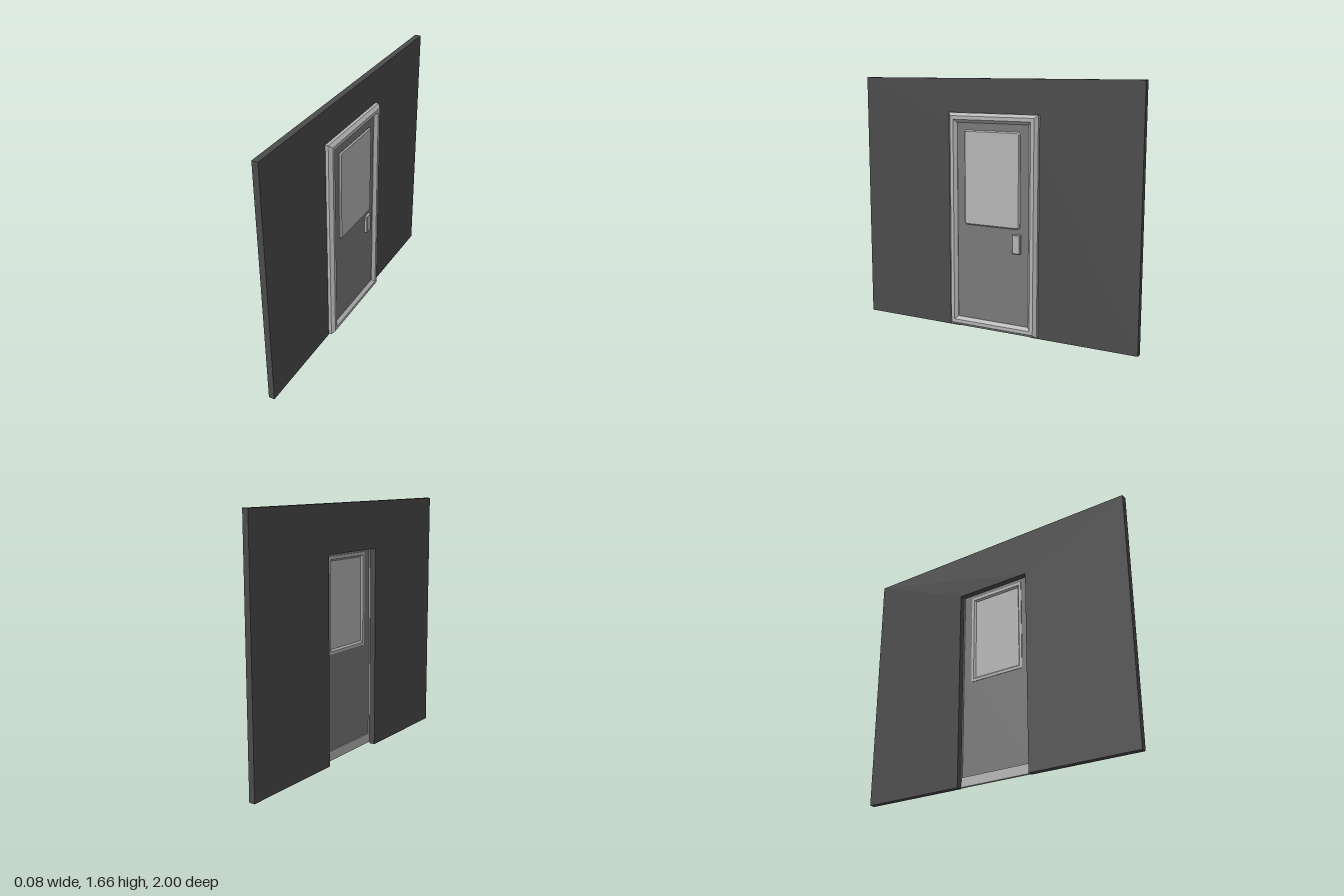
import * as THREE from 'three';

const wallGrey = new THREE.MeshStandardMaterial({ color: 0x4b4b4b });
wallGrey.name = 'wallGrey';
const doorGrey = new THREE.MeshStandardMaterial({ color: 0x797979 });
doorGrey.name = 'doorGrey';
const trimGrey = new THREE.MeshStandardMaterial({ color: 0xb5b5b5 });
trimGrey.name = 'trimGrey';

// Rounded rectangle outline, drawn into a Shape or Path
function rect(target, x0, x1, y0, y1, r = 0) {
  if (r === 0) {
    target.moveTo(x0, y0).lineTo(x1, y0).lineTo(x1, y1).lineTo(x0, y1).closePath();
    return target;
  }
  target.absarc(x1 - r, y0 + r, r, -Math.PI / 2, 0);
  target.absarc(x1 - r, y1 - r, r, 0, Math.PI / 2);
  target.absarc(x0 + r, y1 - r, r, Math.PI / 2, Math.PI);
  target.absarc(x0 + r, y0 + r, r, Math.PI, Math.PI * 1.5);
  target.closePath();
  return target;
}

// Extrudes an upright outline towards +x, between x0 and x1, with an optional front and back bevel
function slab(name, shape, x0, x1, material, bevel = 0) {
  const geo = new THREE.ExtrudeGeometry(shape, {
    depth: x1 - x0 - 2 * bevel,
    bevelEnabled: bevel > 0,
    bevelThickness: bevel,
    bevelSize: bevel,
    bevelOffset: -bevel,
    bevelSegments: 1,
    curveSegments: 4,
  });
  geo.translate(0, 0, x0 + bevel);
  geo.rotateY(Math.PI / 2);
  const mesh = new THREE.Mesh(geo, material);
  mesh.name = name;
  return mesh;
}

// Mitred frame: a closed profile of [inset, depth] points swept round a rectangle
function mitredFrame(name, half, y0, y1, profile, material) {
  const rings = profile.map(([i, d]) => [
    [-half + i, y0 + i, d], [half - i, y0 + i, d],
    [half - i, y1 - i, d], [-half + i, y1 - i, d],
  ]);
  const pos = [];
  rings.forEach((a, k) => {
    const b = rings[(k + 1) % rings.length];
    for (let j = 0; j < 4; j++) {
      const n = (j + 1) % 4;
      for (const p of [a[j], a[n], b[n], a[j], b[n], b[j]]) pos.push(...p);
    }
  });
  const geo = new THREE.BufferGeometry();
  geo.setAttribute('position', new THREE.Float32BufferAttribute(pos, 3));
  geo.rotateY(Math.PI / 2);
  geo.computeVertexNormals();
  const mesh = new THREE.Mesh(geo, material);
  mesh.name = name;
  return mesh;
}

export function createModel() {
  const model = new THREE.Group();
  model.name = 'doorInWall';

  // Wall with a doorway open down to the floor
  const wall = new THREE.Shape();
  wall.moveTo(-1, 0).lineTo(-0.265, 0).lineTo(-0.265, 1.35).lineTo(0.265, 1.35);
  wall.lineTo(0.265, 0).lineTo(1, 0).lineTo(1, 1.66).lineTo(-1, 1.66).closePath();
  model.add(slab('wall', wall, -0.04, 0, wallGrey));

  // Chamfered door frame
  model.add(mitredFrame('doorFrame', 0.325, 0.01, 1.44,
    [[0, 0], [0, 0.02], [0.02, 0.04], [0.043, 0.04], [0.063, 0.02], [0.063, 0]], trimGrey));

  // Door leaf with a window opening
  const leaf = rect(new THREE.Shape(), -0.27, 0.27, 0.05, 1.39);
  leaf.holes.push(rect(new THREE.Path(), -0.19, 0.19, 0.72, 1.32));
  model.add(slab('doorLeaf', leaf, 0.008, 0.018, doorGrey));

  // Window: bevelled pane in front, rim lining the opening behind it
  const pane = rect(new THREE.Shape(), -0.203, 0.203, 0.71, 1.33, 0.02);
  model.add(slab('windowPane', pane, 0.015, 0.034, trimGrey, 0.008));
  model.add(mitredFrame('windowRim', 0.2, 0.71, 1.33,
    [[0, 0.004], [0, 0.016], [0.03, 0.016], [0.018, 0.004]], trimGrey));

  // Handle plate
  const handle = rect(new THREE.Shape(), 0.153, 0.208, 0.55, 0.675);
  model.add(slab('handlePlate', handle, 0.012, 0.036, trimGrey, 0.004));

  return model;
}
